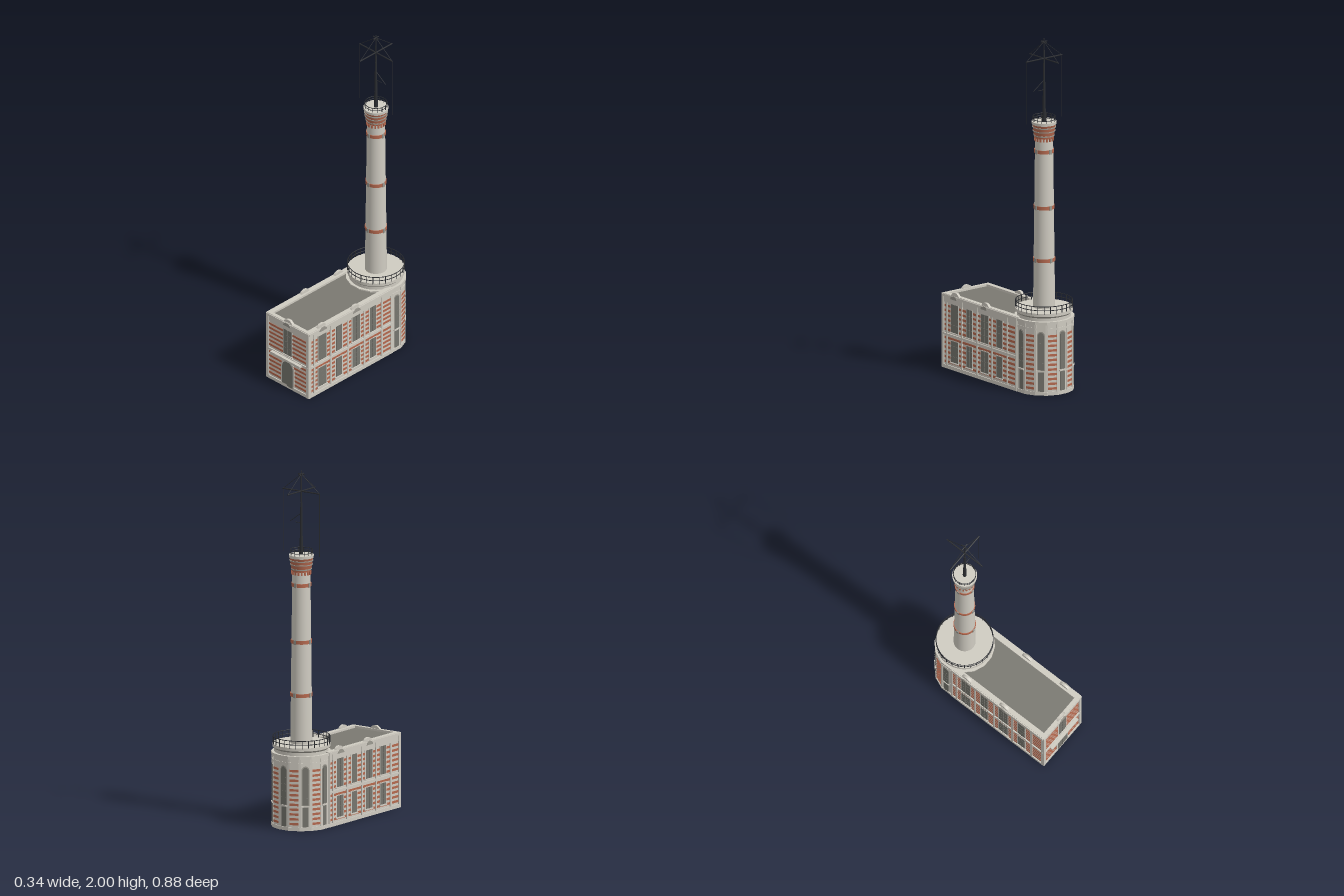
import * as THREE from 'three';

const mat = (name, hex) => {
  const m = new THREE.MeshStandardMaterial({ color: hex });
  m.name = name;
  return m;
};

export function createModel() {
  const stone = mat('pale stone', 0xcfcbc1);
  const brick = mat('red brick', 0xb5694f);
  const glass = mat('grey glazing', 0x76756e);
  const roofing = mat('roof grey', 0x7a7871);
  const iron = mat('dark iron', 0x2b2d31);
  const trim = mat('grey trim', 0x9b988f);

  const model = new THREE.Group();
  model.name = 'chimneyBuilding';
  const TZ = -0.278; // tower axis

  const group = (parent, name, x = 0, y = 0, z = 0, ry = 0) => {
    const g = new THREE.Group();
    g.name = name;
    g.position.set(x, y, z);
    g.rotation.y = ry;
    parent.add(g);
    return g;
  };
  const add = (parent, name, geo, m, x = 0, y = 0, z = 0) => {
    const mesh = new THREE.Mesh(geo, m);
    mesh.name = name;
    mesh.position.set(x, y, z);
    parent.add(mesh);
    return mesh;
  };
  // box given by its bottom y and its back z
  const box = (p, name, m, w, h, d, x, y0, z0) =>
    add(p, name, new THREE.BoxGeometry(w, h, d), m, x, y0 + h / 2, z0 + d / 2);
  const drum = (p, name, m, rTop, rBot, y0, y1, sides = 40) =>
    add(p, name, new THREE.CylinderGeometry(rTop, rBot, y1 - y0, sides), m, 0, (y0 + y1) / 2, 0);
  const rod = (p, name, a, b, r, sides = 6) => {
    const A = new THREE.Vector3(...a), B = new THREE.Vector3(...b);
    const mesh = add(p, name, new THREE.CylinderGeometry(r, r, A.distanceTo(B), sides), iron);
    mesh.position.copy(A).add(B).multiplyScalar(0.5);
    mesh.quaternion.setFromUnitVectors(new THREE.Vector3(0, 1, 0), B.sub(A).normalize());
  };
  // round-headed plate standing on y0
  const arch = (p, name, m, w, y0, h, d, z0) => {
    const r = w / 2, s = new THREE.Shape();
    s.moveTo(-r, 0).lineTo(r, 0).lineTo(r, h - r).absarc(0, h - r, r, 0, Math.PI, false).lineTo(-r, 0);
    add(p, name, new THREE.ExtrudeGeometry(s, { depth: d, bevelEnabled: false, curveSegments: 8 }), m, 0, y0, z0);
  };

  // ---- facade parts: local x runs along the wall, local z points outward
  const stripes = (f, w, x, y0, n) => {
    for (let i = 0; i < n; i++) box(f, 'brickCourse', brick, w, 0.013, 0.003, x, y0 + i * 0.0272, -0.001);
  };
  const window_ = (f, x, y0, w, h) => {
    box(f, 'windowSurround', stone, w + 0.014, h + 0.01, 0.004, x, y0 - 0.005, -0.001);
    box(f, 'windowPane', glass, w, h, 0.005, x, y0, -0.001);
    box(f, 'mullion', glass, 0.004, h, 0.007, x, y0, -0.001);
    for (let k = 1; k < 4; k++) box(f, 'glazingBar', glass, w, 0.003, 0.006, x, y0 + (h * k) / 4, -0.001);
    box(f, 'windowSill', stone, w + 0.018, 0.006, 0.009, x, y0 - 0.008, -0.001);
  };
  const crest = (f, x) => {
    const c = add(f, 'roofCrest', new THREE.CylinderGeometry(0.036, 0.036, 0.015, 24).rotateX(Math.PI / 2), stone, x, 0.41, -0.0075);
    c.scale.y = 0.95;
    const k = add(f, 'crestPendant', new THREE.CylinderGeometry(0.028, 0.028, 0.006, 16, 1, false, Math.PI / 2, Math.PI)
      .rotateX(Math.PI / 2), trim, x, 0.405, 0.008);
    k.scale.y = 0.75;
  };
  const bands = (f, w) => {
    box(f, 'plinth', stone, w, 0.02, 0.006, 0, 0, 0);
    box(f, 'floorLedge', stone, w, 0.012, 0.007, 0, 0.19, 0);
    box(f, 'frieze', stone, w, 0.032, 0.004, 0, 0.378, 0);
    box(f, 'cornice', stone, w, 0.014, 0.008, 0, 0.408, 0);
  };
  const pilaster = (f, x, w = 0.012) => box(f, 'pilaster', stone, w, 0.408, 0.006, x, 0, 0);

  // ---- main block
  const hall = group(model, 'mainBlock');
  box(hall, 'hallWalls', stone, 0.32, 0.41, 0.69, 0, 0, TZ);
  box(hall, 'flatRoof', roofing, 0.268, 0.003, 0.62, 0, 0.41, -0.225);
  for (const s of [-1, 1]) box(hall, 'sideParapet', stone, 0.029, 0.017, 0.66, s * 0.1475, 0.408, -0.245);
  box(hall, 'frontParapet', stone, 0.32, 0.017, 0.022, 0, 0.408, 0.393);

  // long sides, each a half-turn copy of the other
  for (const s of [-1, 1]) {
    const f = group(hall, s > 0 ? 'leftFacade' : 'rightFacade', s * 0.16, 0, 0.0845, (s * Math.PI) / 2);
    bands(f, 0.655);
    stripes(f, 0.65, 0, 0.032, 6);
    stripes(f, 0.65, 0, 0.215, 6);
    for (const x of [-0.32, -0.2875, -0.1575, -0.0225, 0.1075, 0.2425, 0.32]) pilaster(f, x);
    [-0.2225, -0.0925, 0.0425, 0.1725].forEach((x, i) => {
      const w = i % 2 ? 0.046 : 0.06;
      window_(f, x, 0.045, w, 0.12);
      window_(f, x, 0.215, w, 0.16);
      if (i % 2 === 0) crest(f, x);
    });
  }

  // entrance front
  const front = group(hall, 'frontFacade', 0, 0, 0.412);
  bands(front, 0.33);
  stripes(front, 0.29, 0, 0.032, 6);
  stripes(front, 0.29, 0, 0.215, 6);
  for (const s of [-1, 1]) pilaster(front, s * 0.155, 0.02);
  arch(front, 'doorSurround', stone, 0.1, 0.005, 0.175, 0.004, 0);
  arch(front, 'frontDoor', glass, 0.08, 0.01, 0.16, 0.006, 0);
  box(front, 'doorSeam', glass, 0.003, 0.15, 0.008, 0, 0.015, 0);
  window_(front, 0, 0.215, 0.06, 0.16);
  box(front, 'balconySlab', stone, 0.228, 0.012, 0.026, 0, 0.186, 0);
  crest(front, 0);

  // ---- faceted tower base
  const base = group(model, 'towerBase', 0, 0, TZ);
  const facetRing = (name, r, y0, y1) => {
    const g = new THREE.CylinderGeometry(r, r, y1 - y0, 16, 1, false, Math.PI / 16).toNonIndexed();
    g.computeVertexNormals();
    add(base, name, g, stone, 0, (y0 + y1) / 2, 0);
  };
  facetRing('towerWalls', 0.163, 0, 0.41);
  facetRing('towerPlinth', 0.167, 0, 0.02);
  facetRing('towerFrieze', 0.166, 0.372, 0.384);
  facetRing('towerCornice', 0.168, 0.404, 0.42);
  const apothem = 0.163 * Math.cos(Math.PI / 16);
  for (let i = 0; i <= 8; i++) {
    const a = Math.PI / 2 + (i * Math.PI) / 8;
    const f = group(base, 'towerFacet', Math.sin(a) * apothem, 0, Math.cos(a) * apothem, a);
    if (i % 2) {
      stripes(f, 0.052, 0, 0.032, 12);
    } else {
      box(f, 'lowerPanel', glass, 0.032, 0.11, 0.004, 0, 0.022, -0.001);
      box(f, 'panelSill', stone, 0.046, 0.008, 0.008, 0, 0.134, -0.001);
      arch(f, 'tallSurround', trim, 0.042, 0.142, 0.222, 0.003, -0.001);
      arch(f, 'tallWindow', glass, 0.032, 0.145, 0.213, 0.005, -0.001);
      for (let k = 1; k < 5; k++) box(f, 'tallGlazingBar', glass, 0.032, 0.003, 0.006, 0, 0.145 + k * 0.038, -0.001);
    }
    if (i < 8) {
      const b = a + Math.PI / 16;
      const e = group(base, 'facetEdge', Math.sin(b) * 0.159, 0, Math.cos(b) * 0.159, b);
      pilaster(e, 0, 0.012);
    }
  }

  // platform stack
  drum(base, 'platformNeck', stone, 0.15, 0.15, 0.41, 0.438);
  drum(base, 'platformMoulding', trim, 0.156, 0.15, 0.438, 0.448);
  drum(base, 'platformSlab', stone, 0.16, 0.16, 0.448, 0.466);

  const railing = (p, name, r, y0, heights, posts, t) => {
    const g = group(p, name);
    for (const y of heights)
      add(g, 'rail', new THREE.TorusGeometry(r, t, 5, 48).rotateX(Math.PI / 2), iron, 0, y, 0);
    for (let i = 0; i < posts; i++) {
      const a = (i / posts) * Math.PI * 2, x = Math.sin(a) * r, z = Math.cos(a) * r;
      rod(g, 'railPost', [x, y0, z], [x, heights[heights.length - 1], z], t, 5);
    }
  };
  railing(base, 'platformRailing', 0.158, 0.46, [0.484, 0.506], 28, 0.0022);

  // ---- chimney
  const chimney = group(model, 'chimney', 0, 0, TZ);
  drum(chimney, 'chimneyShaft', stone, 0.05, 0.061, 0.466, 1.44);
  for (const y of [0.74, 1.04, 1.36]) {
    const r = 0.061 - ((y - 0.466) / 0.974) * 0.011 + 0.004;
    drum(chimney, 'brickBand', brick, r, r, y - 0.01, y + 0.01);
    for (let k = 0; k < 4; k++) {
      const a = (k * Math.PI) / 2;
      const c = group(chimney, 'bandClamp', Math.sin(a) * r, 0, Math.cos(a) * r, a);
      box(c, 'clampPlate', trim, 0.016, 0.026, 0.004, 0, y - 0.013, -0.001);
    }
  }
  // corbelled crown: [bottom radius, top radius, y0, y1, material]
  [
    [0.053, 0.055, 1.434, 1.446, brick], [0.058, 0.058, 1.446, 1.452, trim],
    [0.056, 0.06, 1.452, 1.472, brick], [0.063, 0.063, 1.472, 1.477, trim],
    [0.06, 0.063, 1.477, 1.494, brick], [0.066, 0.066, 1.494, 1.499, trim],
    [0.062, 0.066, 1.499, 1.512, brick], [0.068, 0.069, 1.512, 1.528, stone],
  ].forEach(([rb, rt, y0, y1, m]) => drum(chimney, 'crownCourse', m, rt, rb, y0, y1));
  for (let i = 0; i < 18; i++) {
    const a = (i / 18) * Math.PI * 2;
    const d = group(chimney, 'corbelTooth', Math.sin(a) * 0.05, 0, Math.cos(a) * 0.05, a);
    box(d, 'tooth', brick, 0.009, 0.02, 0.007, 0, 1.418, -0.001);
  }
  railing(chimney, 'crownRailing', 0.062, 1.525, [1.541, 1.556], 14, 0.0018);

  // ---- mast with cross arms, stays and hanging wires
  const mast = group(model, 'mast', 0, 0, TZ);
  drum(mast, 'mastFoot', iron, 0.009, 0.011, 1.525, 1.63, 10);
  drum(mast, 'mastMiddle', iron, 0.006, 0.008, 1.63, 1.82, 10);
  drum(mast, 'mastTop', iron, 0.003, 0.005, 1.82, 2.0, 8);
  for (let k = 0; k < 4; k++) {
    const a = (k * Math.PI) / 2, sx = Math.round(Math.sin(a)), sz = Math.round(Math.cos(a));
    rod(mast, 'crossArm', [0, 1.885, 0], [sx * 0.127, 1.885, sz * 0.127], 0.004);
    rod(mast, 'stay', [0, 1.982, 0], [sx * 0.125, 1.885, sz * 0.125], 0.0016);
    rod(mast, 'finialArm', [0, 1.982, 0], [sx * 0.022, 1.982, sz * 0.022], 0.003);
    if (sx) rod(mast, 'hangingWire', [sx * 0.125, 1.885, 0], [sx * 0.125, 1.53, 0], 0.0016);
  }
  rod(mast, 'bracketBrace', [0, 1.762, 0], [0.075, 1.708, 0], 0.002);
  rod(mast, 'bracketArm', [0, 1.706, 0], [0.042, 1.706, 0], 0.002);
  return model;
}
